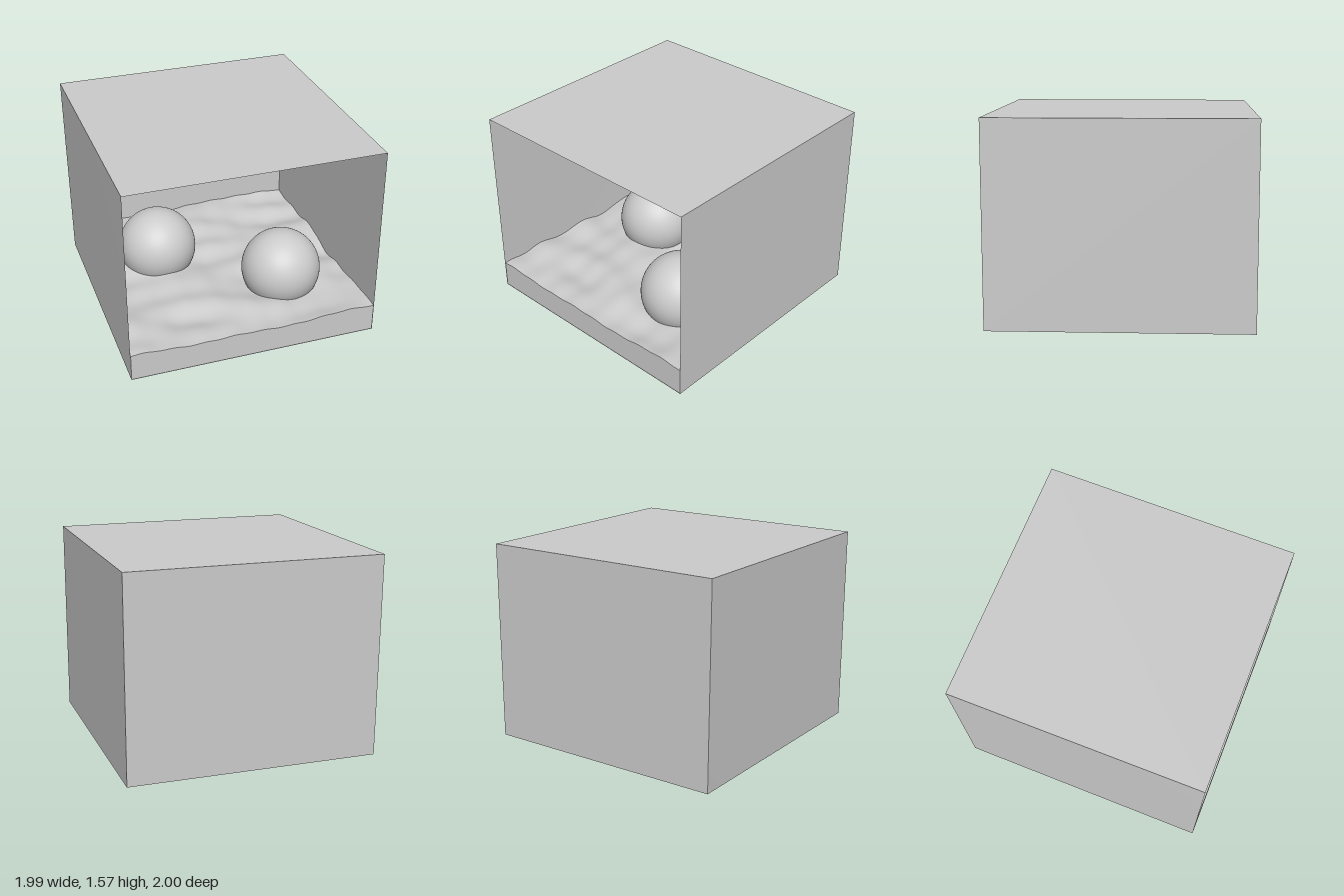
import * as THREE from 'three';

const HEIGHT = 1.57, RIGHT = 0.994;
const LEFT_TOP = -0.994, LEFT_FRONT = -0.983, LEFT_BACK = -0.972;

// Small seeded generator for the ripples
function seeded(seed) {
  return () => {
    seed = (seed * 16807) % 2147483647;
    return seed / 2147483647;
  };
}

// Single flat wall from four corners
function panel(name, corners, material) {
  const geometry = new THREE.BufferGeometry();
  geometry.setAttribute('position', new THREE.Float32BufferAttribute(corners.flat(), 3));
  geometry.setIndex([0, 1, 2, 0, 2, 3]);
  geometry.computeVertexNormals();
  const mesh = new THREE.Mesh(geometry, material);
  mesh.name = name;
  return mesh;
}

// Wavy block of water that fills the bottom of the room
function waterGeometry() {
  const random = seeded(7);
  const waves = [];
  for (let i = 0; i < 14; i++) {
    const angle = random() * Math.PI * 2;
    const k = (Math.PI * 2) / (0.24 + 0.05 * i);
    waves.push([k * Math.cos(angle), k * Math.sin(angle), random() * 6.28, 0.0035 + 0.0003 * i]);
  }
  const level = (x, z) => waves.reduce(
    (y, [kx, kz, phase, size]) => y + size * Math.sin(kx * x + kz * z + phase), 0.207);

  const geometry = new THREE.BoxGeometry(1, 1, 1, 100, 1, 100);
  const p = geometry.attributes.position;
  for (let i = 0; i < p.count; i++) {
    const z = p.getZ(i) * 1.996;
    const left = THREE.MathUtils.lerp(LEFT_BACK, LEFT_FRONT, p.getZ(i) + 0.5) + 0.002;
    const x = THREE.MathUtils.lerp(left, RIGHT - 0.002, p.getX(i) + 0.5);
    p.setXYZ(i, x, p.getY(i) > 0 ? level(x, z) : 0.002, z);
  }
  geometry.computeVertexNormals();
  return geometry;
}

export function createModel() {
  const group = new THREE.Group();
  group.name = 'roomWithWater';
  const grey = new THREE.MeshStandardMaterial({ color: 0xcccccc, side: THREE.DoubleSide });
  grey.name = 'light grey';

  // Room shell, open at the front, with a slightly leaning left-hand wall
  const floorFL = [LEFT_FRONT, 0, 1], floorFR = [RIGHT, 0, 1];
  const floorBL = [LEFT_BACK, 0, -1], floorBR = [RIGHT, 0, -1];
  const topFL = [LEFT_TOP, HEIGHT, 1], topFR = [RIGHT, HEIGHT, 1];
  const topBL = [LEFT_TOP, HEIGHT, -1], topBR = [RIGHT, HEIGHT, -1];
  group.add(
    panel('floor', [floorFL, floorBL, floorBR, floorFR], grey),
    panel('ceiling', [topFL, topFR, topBR, topBL], grey),
    panel('backWall', [floorBL, topBL, topBR, floorBR], grey),
    panel('leftWall', [floorFR, floorBR, topBR, topFR], grey),
    panel('rightWall', [floorFL, topFL, topBL, floorBL], grey),
  );

  // Water
  const water = new THREE.Mesh(waterGeometry(), grey);
  water.name = 'water';
  group.add(water);

  // Two half-sunken balls
  const ball = new THREE.SphereGeometry(0.318, 64, 48);
  for (const [name, x, z] of [['rearBall', -0.41, -0.25], ['frontBall', 0.445, 0.39]]) {
    const mesh = new THREE.Mesh(ball, grey);
    mesh.name = name;
    mesh.position.set(x, 0.332, z);
    group.add(mesh);
  }
  return group;
}
